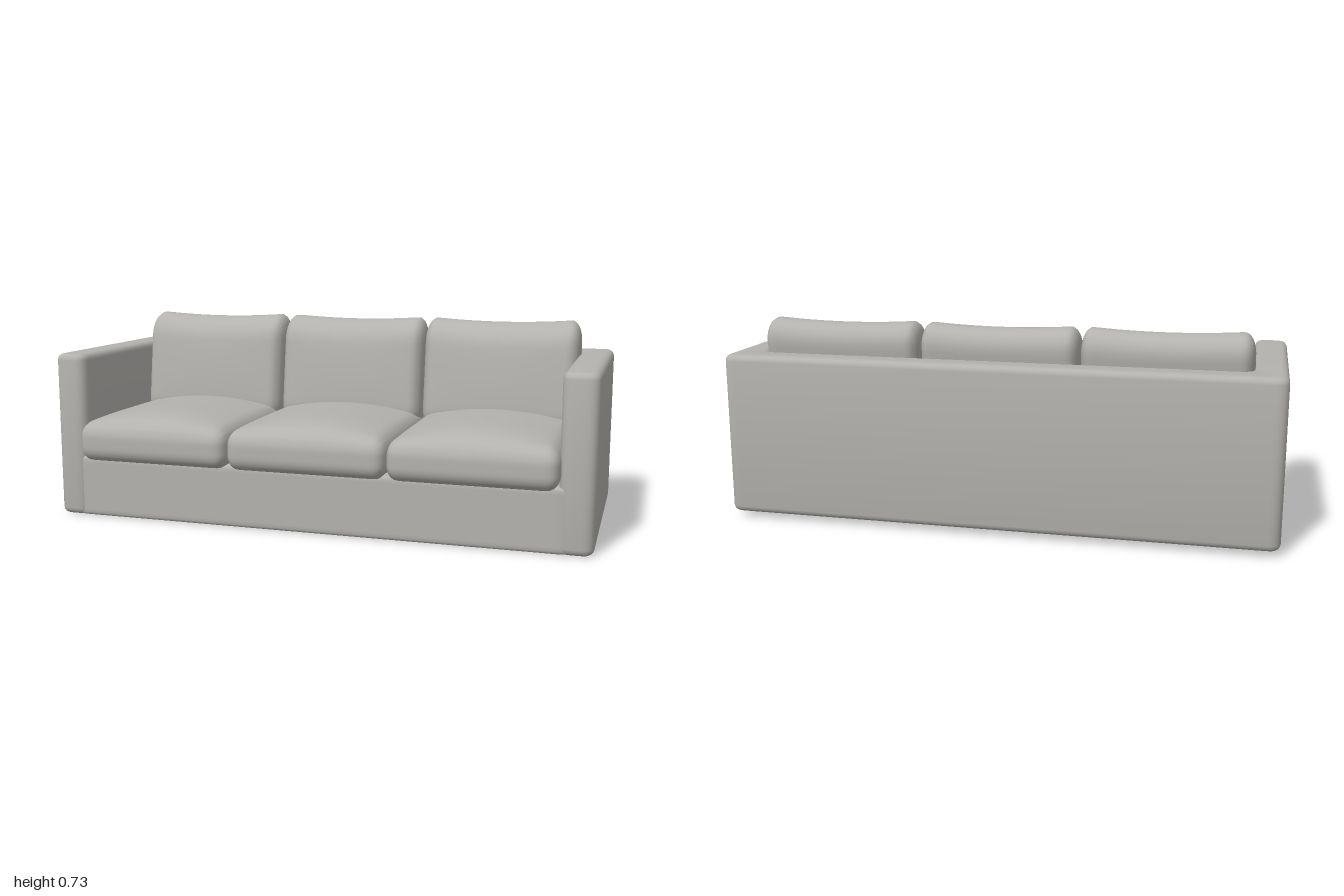
import * as THREE from 'three';
import { mergeVertices, toCreasedNormals } from 'three/addons/utils/BufferGeometryUtils.js';

const fabric = new THREE.MeshStandardMaterial({ color: 0xb4b2ae });
fabric.name = 'grey fabric';

// Move every vertex of a geometry by a rule
function deform(geo, rule) {
  const pos = geo.attributes.position, v = new THREE.Vector3();
  for (let i = 0; i < pos.count; i++) {
    v.fromBufferAttribute(pos, i);
    rule(v);
    pos.setXYZ(i, v.x, v.y, v.z);
  }
  return geo;
}

// Soft block: subdivided box with its own rounding radius per axis, then an optional rule
function softBlock(size, radii, rule = () => {}) {
  let geo = new THREE.BoxGeometry(...size, 36, 18, 28);
  geo.deleteAttribute('uv');
  geo.deleteAttribute('normal');
  geo = mergeVertices(geo);
  const r = new THREE.Vector3(...radii);
  const inner = new THREE.Vector3(...size).multiplyScalar(0.5).sub(r);
  const low = inner.clone().negate(), core = new THREE.Vector3();
  deform(geo, (v) => {
    core.copy(v).clamp(low, inner);
    v.sub(core).divide(r).normalize().multiply(r).add(core);
    rule(v);
  });
  geo.computeVertexNormals();
  return geo;
}

// Closed outline with every corner rounded
function roundedOutline(points, r) {
  const shape = new THREE.Shape();
  const pts = points.map(([x, y]) => new THREE.Vector2(x, y));
  pts.forEach((p, i) => {
    const before = pts[(i + pts.length - 1) % pts.length], after = pts[(i + 1) % pts.length];
    const a = before.clone().sub(p).setLength(r).add(p);
    const b = after.clone().sub(p).setLength(r).add(p);
    if (i === 0) shape.moveTo(a.x, a.y);
    else shape.lineTo(a.x, a.y);
    shape.quadraticCurveTo(p.x, p.y, b.x, b.y);
  });
  shape.closePath();
  return shape;
}

// The underside rises slightly towards the back
function liftUnderside(v) {
  v.y += 0.022 * ((0.385 - v.z) / 0.82) * (1 - v.y / 0.613);
}

export function createModel() {
  const sofa = new THREE.Group();
  sofa.name = 'sofa';
  const add = (name, geo, x = 0, y = 0, z = 0) => {
    const mesh = new THREE.Mesh(geo, fabric);
    mesh.name = name;
    mesh.position.set(x, y, z);
    sofa.add(mesh);
    return mesh;
  };

  // Arms and backrest: one U-shaped shell, raised from its plan
  const bevel = 0.024, height = 0.613;
  const plan = roundedOutline([
    [-0.997, -0.385], [-0.875, -0.385], [-0.875, 0.315], [0.875, 0.315],
    [0.875, -0.385], [0.997, -0.385], [0.997, 0.435], [-0.997, 0.435],
  ], 0.045);
  const shell = new THREE.ExtrudeGeometry(plan, {
    depth: height - 2 * bevel, curveSegments: 6,
    bevelEnabled: true, bevelThickness: bevel, bevelSize: bevel, bevelOffset: -bevel, bevelSegments: 4,
  });
  shell.translate(0, 0, bevel).rotateX(-Math.PI / 2);
  add('armsAndBackrest', toCreasedNormals(deform(shell, liftUnderside), 0.7));

  // Base under the seat
  const base = softBlock([1.86, 0.23, 0.75], [0.015, 0.012, 0.015], (v) => {
    v.y += 0.115;
    v.z += 0.006;
    liftUnderside(v);
  });
  add('base', base);

  // Three domed seat cushions and three leaning back cushions
  const names = ['right', 'middle', 'left'];
  names.forEach((side, i) => {
    const x = (i - 1) * 0.588;
    const seat = softBlock([0.588, 0.145, 0.7], [0.045, 0.055, 0.05], (v) => {
      const u = v.x / 0.294, w = v.z / 0.35;
      if (v.y > 0) v.y += 0.045 * (v.y / 0.0725) * (1 - u * u) * (1 - w ** 4);
    });
    add(side + 'SeatCushion', seat, x, 0.29, 0.085);

    const back = softBlock([i === 1 ? 0.58 : 0.596, 0.42, 0.185], [0.04, 0.085, 0.088], (v) => {
      const u = v.x / 0.3, t = v.y / 0.21;
      if (t > 0) v.y += 0.014 * t * u * u;                    // corners stand a little higher
      if (v.z > 0) v.z += 0.014 * (1 - u * u) * (1 - t * t);  // plump front
      v.z -= 0.14 * v.y;                                      // lean
    });
    add(side + 'BackCushion', back, (i - 1) * 0.587, 0.512, -0.227);
  });

  return sofa;
}
